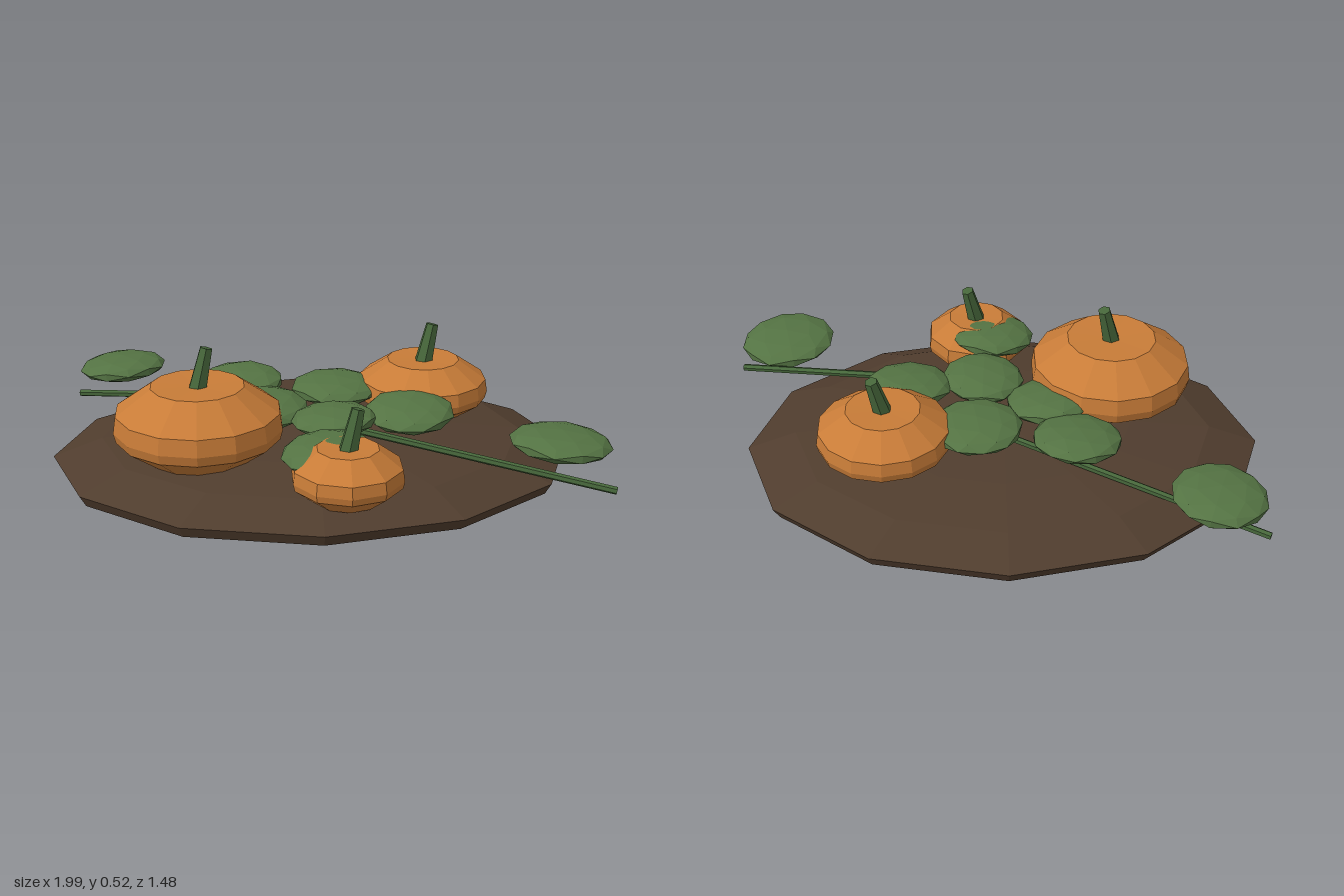
import * as THREE from 'three';

const flat = (name, color) => {
  const m = new THREE.MeshStandardMaterial({ color, flatShading: true });
  m.name = name;
  return m;
};

export function createModel() {
  const group = new THREE.Group();
  const soil = flat('soil brown', 0x503d2e);
  const skin = flat('pumpkin orange', 0xc87c38);
  const leafGreen = flat('leaf green', 0x547343);
  const stemGreen = flat('stem green', 0x46663a);

  const add = (name, geometry, material, parent = group) => {
    const mesh = new THREE.Mesh(geometry, material);
    mesh.name = name;
    parent.add(mesh);
    return mesh;
  };
  const lathe = (points, sides) =>
    new THREE.LatheGeometry(points.map(([r, y]) => new THREE.Vector2(r, y)), sides);

  // Tapered rod between two points
  const rod = (name, from, to, r0, r1, sides, parent) => {
    const a = new THREE.Vector3(...from), b = new THREE.Vector3(...to);
    const dir = b.clone().sub(a);
    const mesh = add(name, new THREE.CylinderGeometry(r1, r0, dir.length(), sides), stemGreen, parent);
    mesh.position.copy(a).add(b).multiplyScalar(0.5);
    mesh.quaternion.setFromUnitVectors(new THREE.Vector3(0, 1, 0), dir.normalize());
    return mesh;
  };

  // Soil mound: a low elliptical dome with a flat underside
  const mound = add('soilMound',
    lathe([[0, 0], [0.975, 0], [1, 0.04], [0.81, 0.11], [0.5, 0.142], [0, 0.158]], 12), soil);
  mound.scale.set(0.96, 1, 0.738);
  mound.position.x = -0.04;

  // Pumpkins: x, z, radius, bottom, top, sides
  const pumpkins = [
    [-0.455, 0.205, 0.305, 0.11, 0.385, 14],
    [0.395, -0.17, 0.247, 0.12, 0.335, 14],
    [0.05, 0.545, 0.197, 0.085, 0.275, 10],
  ];
  for (const [x, z, r, bottom, top, sides] of pumpkins) {
    const pumpkin = new THREE.Group();
    pumpkin.name = 'pumpkin';
    pumpkin.position.set(x, 0, z);
    group.add(pumpkin);
    const h = top - bottom;
    add('pumpkinBody', lathe([
      [0, bottom], [r * 0.58, bottom + h * 0.01], [r * 0.97, bottom + h * 0.32],
      [r, bottom + h * 0.45], [r * 0.97, bottom + h * 0.67], [r * 0.55, top], [0, top - 0.005],
    ], sides), skin, pumpkin);
    rod('pumpkinStem', [-0.005, top - 0.04, 0.005], [0.035, top + 0.13, -0.02],
      0.037, 0.024, 6, pumpkin);
  }

  // Leaves: x, y, z, radius, turn
  const leaves = [
    [-0.77, 0.205, -0.53, 0.17, 0.2],
    [-0.30, 0.235, -0.23, 0.165, 0.9],
    [0.06, 0.235, -0.15, 0.17, 1.7],
    [-0.21, 0.225, 0.02, 0.16, 2.3],
    [0.03, 0.23, 0.17, 0.155, 0.5],
    [0.31, 0.235, 0.125, 0.165, 1.2],
    [0.795, 0.235, 0.45, 0.18, 2.8],
    [-0.01, 0.23, 0.48, 0.165, 0.1],
  ];
  leaves.forEach(([x, y, z, r, turn], i) => {
    const leaf = add('leaf', new THREE.IcosahedronGeometry(1, 1), leafGreen);
    leaf.scale.set(r, 0.046, r);
    leaf.rotation.set(i % 2 ? 0.05 : -0.05, turn, 0.06);
    leaf.position.set(x, y, z);
  });

  // Trailing vines
  rod('vineLeft', [0.0, 0.2, -0.13], [-0.95, 0.07, -0.59], 0.014, 0.014, 6);
  rod('vineRight', [0.0, 0.215, 0.165], [0.99, 0.07, 0.505], 0.014, 0.014, 6);

  return group;
}
